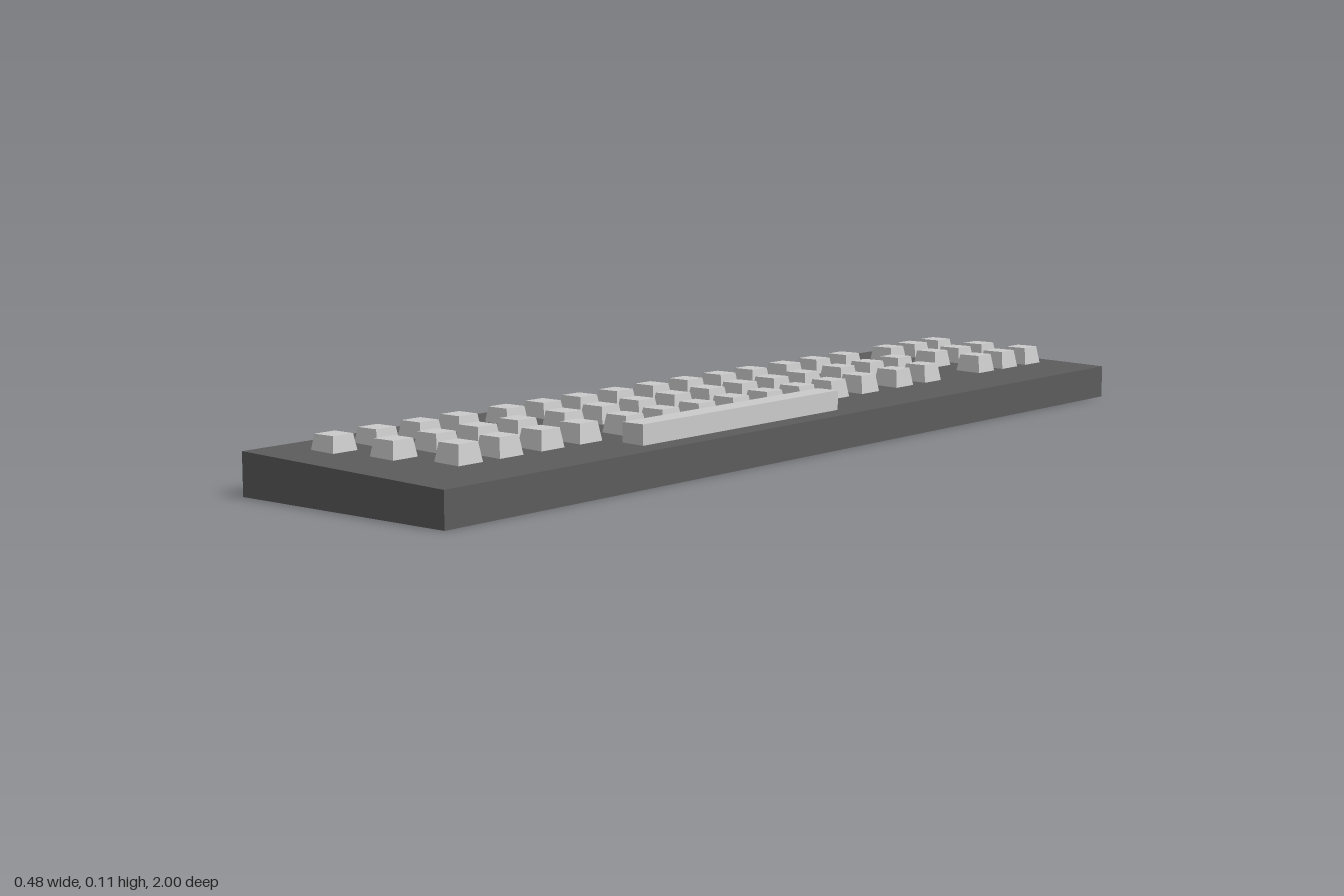
import * as THREE from 'three';

const bodyMat = new THREE.MeshStandardMaterial({ color: 0x5c5c5c, flatShading: true });
const keyMat = new THREE.MeshStandardMaterial({ color: 0xcccccc, flatShading: true });

const KEY_TOP = 0.105, KEY_BASE = 0.064;

// Wedge-shaped case: sloping cross-section run along z
function makeCase() {
  const section = new THREE.Shape([
    new THREE.Vector2(-0.242, 0),
    new THREE.Vector2(0.242, 0),
    new THREE.Vector2(0.242, 0.066),
    new THREE.Vector2(-0.242, 0.079),
  ]);
  const geo = new THREE.ExtrudeGeometry(section, { depth: 2, bevelEnabled: false });
  geo.translate(0, 0, -1);
  const mesh = new THREE.Mesh(geo, bodyMat);
  mesh.name = 'case';
  return mesh;
}

// Tapered square keycap, sunk slightly into the case
function makeKeyGeometry() {
  const h = KEY_TOP - KEY_BASE;
  const geo = new THREE.CylinderGeometry(0.0232 * Math.SQRT2, 0.0298 * Math.SQRT2, h, 4);
  geo.rotateY(Math.PI / 4);
  geo.translate(0, KEY_BASE + h / 2, 0);
  return geo;
}

export function createModel() {
  const model = new THREE.Group();
  model.name = 'keyboard';
  model.add(makeCase());

  // Each row of keys lies along z; every row starts with the same block of three
  const side = [-0.921, -0.831, -0.741];
  const rows = [
    { name: 'backKeyRow', x: -0.143, z: [-0.577, -0.473, -0.371, -0.259, -0.157, -0.053,
      0.051, 0.156, 0.259, 0.36, 0.458, 0.58, 0.677, 0.781, 0.881] },
    { name: 'middleKeyRow', x: -0.027, z: [-0.605, -0.504, -0.403, -0.282, -0.181, -0.08,
      0.02, 0.123, 0.226, 0.328, 0.429, 0.55, 0.65, 0.751, 0.852] },
    { name: 'frontKeyRow', x: 0.085, z: [-0.541, -0.441, -0.322, -0.221, -0.118, -0.017,
      0.085, 0.186, 0.289, 0.389, 0.511, 0.609, 0.712, 0.81] },
  ];
  const keyGeo = makeKeyGeometry();
  for (const row of rows) {
    const group = new THREE.Group();
    group.name = row.name;
    for (const z of [...side, ...row.z]) {
      const key = new THREE.Mesh(keyGeo, keyMat);
      key.name = 'key';
      key.position.set(row.x, 0, z);
      group.add(key);
    }
    model.add(group);
  }

  // Long straight-sided bar
  const bar = new THREE.Mesh(new THREE.BoxGeometry(0.048, KEY_TOP - 0.06, 0.568), keyMat);
  bar.name = 'spaceBar';
  bar.position.set(0.175, (KEY_TOP + 0.06) / 2, 0.186);
  model.add(bar);

  return model;
}
